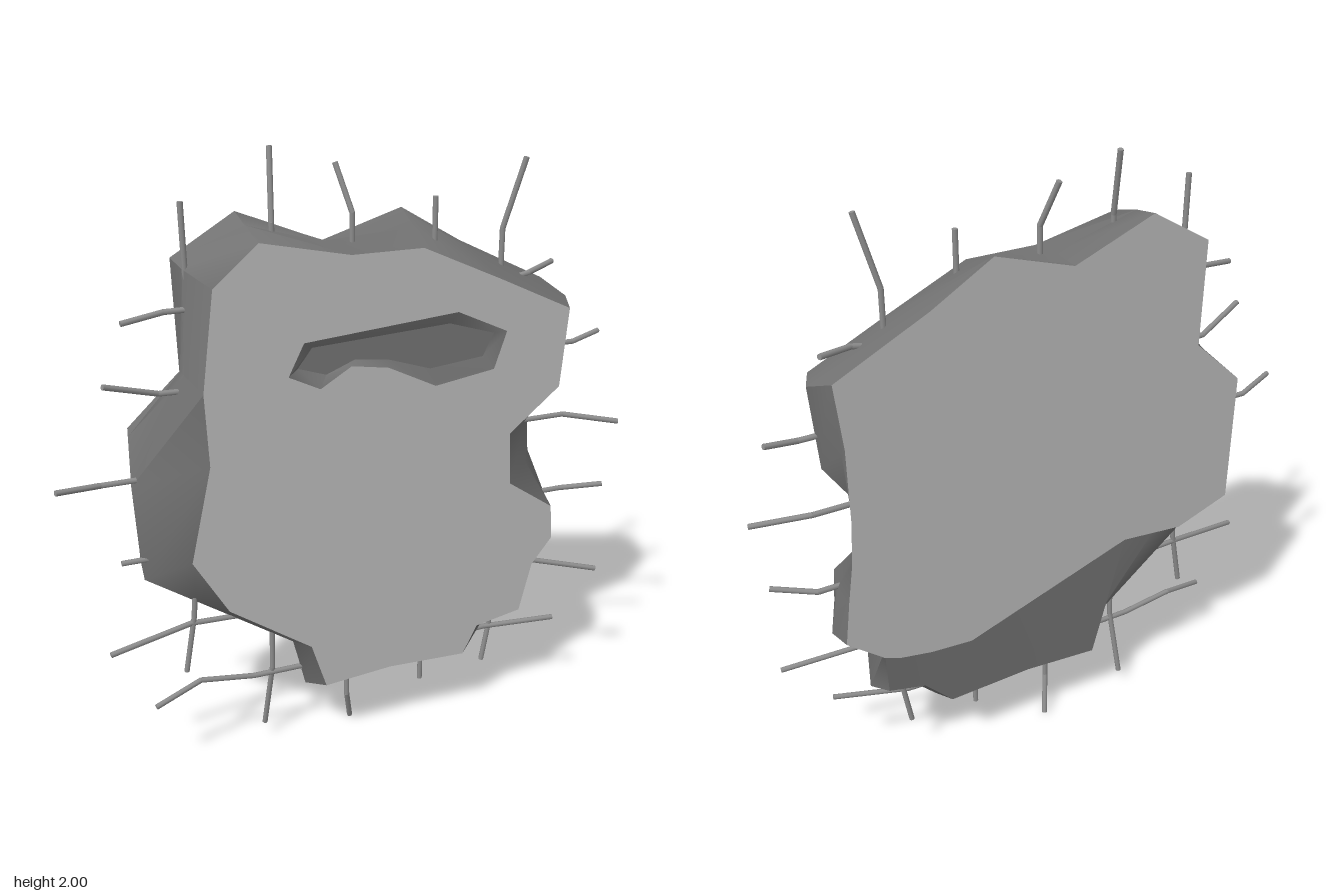
import * as THREE from 'three';
import { toCreasedNormals } from 'three/addons/utils/BufferGeometryUtils.js';

const paleConcrete = new THREE.MeshStandardMaterial({ color: 0xb8b8b8 });
const brokenConcrete = new THREE.MeshStandardMaterial({ color: 0x727272 });
const steel = new THREE.MeshStandardMaterial({ color: 0x8c8c8c });

const FRONT = 0.1, BACK = -0.1;

// Outline, clockwise from the upper left: front x,y, middle x,y, back x,y
const outline = [
  [-0.46, 1.64, -0.52, 1.68, -0.53, 1.69],
  [-0.32, 1.76, -0.33, 1.79, -0.33, 1.81],
  [-0.04, 1.70, -0.05, 1.71, -0.06, 1.70],
  [0.19, 1.70, 0.20, 1.74, 0.20, 1.78],
  [0.45, 1.58, 0.40, 1.65, 0.40, 1.66],
  [0.70, 1.46, 0.74, 1.47, 0.70, 1.51],
  [0.68, 1.20, 0.72, 1.20, 0.68, 1.30],
  [0.51, 1.06, 0.62, 1.05, 0.68, 1.06],
  [0.52, 0.88, 0.63, 0.90, 0.69, 0.91],
  [0.68, 0.77, 0.71, 0.77, 0.71, 0.78],
  [0.69, 0.65, 0.74, 0.61, 0.73, 0.63],
  [0.62, 0.56, 0.63, 0.52, 0.61, 0.53],
  [0.58, 0.39, 0.63, 0.35, 0.56, 0.51],
  [0.42, 0.36, 0.50, 0.32, 0.45, 0.49],
  [0.37, 0.26, 0.40, 0.22, 0.31, 0.48],
  [0.10, 0.27, 0.10, 0.23, 0.02, 0.58],
  [-0.13, 0.25, -0.17, 0.21, -0.27, 0.68],
  [-0.18, 0.41, -0.21, 0.38, -0.38, 0.67],
  [-0.45, 0.60, -0.53, 0.60, -0.49, 0.66],
  [-0.56, 0.79, -0.69, 0.71, -0.68, 0.73],
  [-0.49, 1.10, -0.71, 1.03, -0.69, 1.18],
  [-0.50, 1.33, -0.53, 1.36, -0.52, 1.34],
];

// Shallow chip in the front face
const chip = [[-0.24, 1.35], [-0.19, 1.45], [0.31, 1.49], [0.48, 1.41], [0.44, 1.29],
  [0.24, 1.26], [0.08, 1.34], [-0.04, 1.36], [-0.14, 1.30]];

const v2 = (list) => list.map(([x, y]) => new THREE.Vector2(x, y));

// Skin joining closed rings of [x, y, z]
function loft(rings, crease) {
  const pos = [];
  for (let r = 0; r < rings.length - 1; r++) {
    const a = rings[r], b = rings[r + 1], n = a.length;
    for (let i = 0; i < n; i++) {
      const j = (i + 1) % n;
      pos.push(...a[i], ...a[j], ...b[i], ...a[j], ...b[j], ...b[i]);
    }
  }
  const geo = new THREE.BufferGeometry();
  geo.setAttribute('position', new THREE.Float32BufferAttribute(pos, 3));
  return toCreasedNormals(geo, crease);
}

export function createModel() {
  const group = new THREE.Group();
  const add = (name, geo, mat, parent = group) => {
    const mesh = new THREE.Mesh(geo, mat);
    mesh.name = name;
    parent.add(mesh);
    return mesh;
  };

  // Rough broken edge; the lower back is chipped away (rows 12 to 17)
  const front = outline.map((p) => [p[0], p[1], FRONT]);
  const middle = outline.map((p) => [p[2], p[3], 0]);
  const rear = outline.map((p, i) => (i >= 12 && i <= 17
    ? [p[2] * 0.95, p[3] + 0.03, -0.085]
    : [p[2] + (p[4] - p[2]) * 0.85, p[3] + (p[5] - p[3]) * 0.85, -0.085]));
  const back = outline.map((p) => [p[4], p[5], BACK]);
  add('brokenEdge', loft([front, middle, rear, back], 0.8), brokenConcrete);

  // Flat faces
  const frontShape = new THREE.Shape(v2(front));
  frontShape.holes.push(new THREE.Path(v2(chip)));
  add('frontFace', new THREE.ShapeGeometry(frontShape).translate(0, 0, FRONT), paleConcrete);
  const backShape = new THREE.Shape(v2(back.map(([x, y]) => [-x, y])));
  add('backFace', new THREE.ShapeGeometry(backShape).rotateY(Math.PI).translate(0, 0, BACK), paleConcrete);

  // Chip: sloping sides and a small floor
  const rim = chip.map(([x, y]) => [x, y, FRONT]).reverse();
  const floor = rim.map(([x, y]) => [x * 0.9 + 0.01, y + (1.395 - y) * 0.4, 0.085]);
  add('chipSides', loft([rim, floor], 0.8), brokenConcrete);
  add('chipFloor', new THREE.ShapeGeometry(new THREE.Shape(v2(floor))).translate(0, 0, 0.085), brokenConcrete);

  // Bent reinforcing bars sticking out all around
  const bars = new THREE.Group();
  bars.name = 'reinforcingBars';
  group.add(bars);
  const up = new THREE.Vector3(0, 1, 0);
  function bar(...points) {
    const path = points.map(([x, y, z = 0]) => new THREE.Vector3(x, y, z));
    for (let i = 0; i < path.length - 1; i++) {
      const dir = path[i + 1].clone().sub(path[i]);
      const len = dir.length();
      const rod = add('bar', new THREE.CylinderGeometry(0.009, 0.009, len + (i ? 0 : 0.004), 8), steel, bars);
      rod.position.copy(path[i]).addScaledVector(dir, 0.5);
      rod.quaternion.setFromUnitVectors(up, dir.normalize());
    }
  }
  // Top
  bar([-0.51, 1.60], [-0.515, 1.87]);
  bar([-0.25, 1.70], [-0.25, 1.79], [-0.235, 2.0, -0.05]);
  bar([0, 1.65], [0, 1.80], [-0.035, 1.94, -0.05]);
  bar([0.26, 1.65, 0.02], [0.26, 1.83, 0.02]);
  bar([0.50, 1.55], [0.50, 1.71], [0.555, 1.93, 0.03]);
  // Left side
  bar([0.50, 1.54], [0.60, 1.56], [0.71, 1.575, -0.05]);
  bar([0.60, 1.31], [0.78, 1.31], [0.885, 1.33, -0.02]);
  bar([0.60, 1.055], [0.76, 1.055], [0.935, 1.03, 0.07]);
  bar([0.60, 0.78], [0.77, 0.78], [0.90, 0.80, 0.06]);
  bar([0.55, 0.54], [0.65, 0.525], [0.895, 0.475, 0.07]);
  bar([0.40, 0.28], [0.50, 0.285], [0.74, 0.305, 0.06]);
  // Bottom
  bar([0.50, 0.40], [0.52, 0.30], [0.495, 0.15]);
  bar([0.255, 0.30], [0.255, 0.13]);
  bar([-0.02, 0.30], [-0.02, 0.13], [0.01, 0.003, -0.05]);
  bar([-0.28, 0.55], [-0.285, 0.30], [-0.305, 0.06, -0.04]);
  bar([-0.53, 0.70], [-0.54, 0.55], [-0.575, 0.35]);
  // Right side
  bar([-0.10, 0.28], [-0.35, 0.28], [-0.53, 0.305], [-0.69, 0.265, 0.04]);
  bar([-0.40, 0.52], [-0.55, 0.525], [-0.82, 0.49, 0.04]);
  bar([-0.60, 0.78], [-0.755, 0.78]);
  bar([-0.60, 1.05], [-0.80, 1.05], [-0.94, 1.07, 0.05]);
  bar([-0.45, 1.31], [-0.61, 1.315], [-0.78, 1.375, 0.05]);
  bar([-0.45, 1.56], [-0.58, 1.56], [-0.71, 1.545, 0.02]);

  return group;
}
